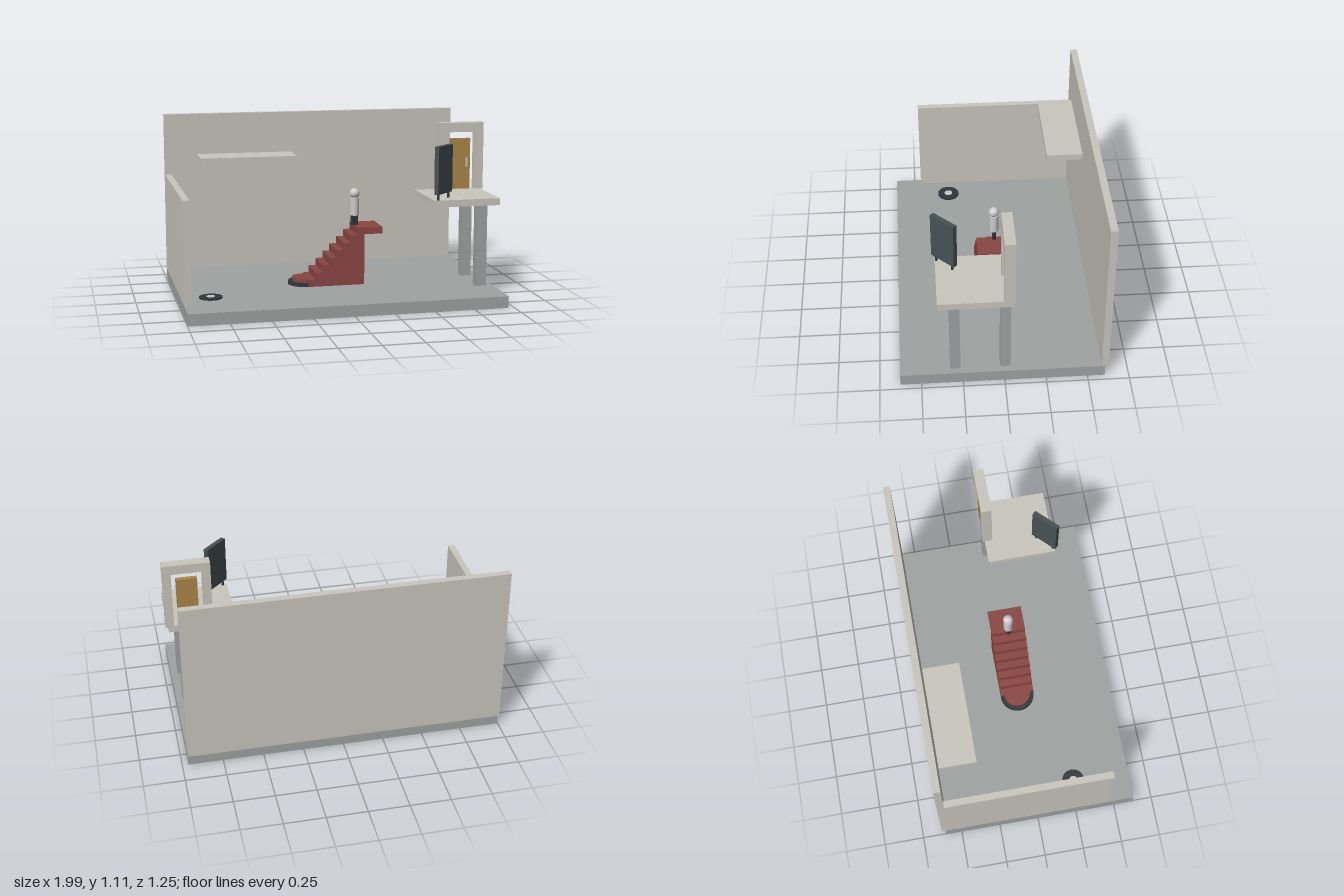
import * as THREE from 'three';

const mat = (color) => new THREE.MeshStandardMaterial({ color });

export function createModel() {
  const model = new THREE.Group();
  const plaster = mat(0xc9c6bd), stone = mat(0x9ea3a2), red = mat(0x8a4642);
  const dark = mat(0x2f363b), slate = mat(0x465154), wood = mat(0xab8748), pale = mat(0xcccccc);

  const add = (name, geometry, material, x = 0, y = 0, z = 0, parent = model) => {
    const mesh = new THREE.Mesh(geometry, material);
    mesh.name = name;
    mesh.position.set(x, y, z);
    parent.add(mesh);
    return mesh;
  };
  // box given by its extents on each axis
  const box = (name, material, [x0, x1], [y0, y1], [z0, z1], parent = model) =>
    add(name, new THREE.BoxGeometry(x1 - x0, y1 - y0, z1 - z0), material,
      (x0 + x1) / 2, (y0 + y1) / 2, (z0 + z1) / 2, parent);
  const group = (name) => {
    const g = new THREE.Group();
    g.name = name;
    model.add(g);
    return g;
  };
  // outline in x and y pushed from z0 to z1
  const extrude = (name, material, points, z0, z1, parent) => {
    const shape = new THREE.Shape(points.map(([x, y]) => new THREE.Vector2(x, y)));
    const geometry = new THREE.ExtrudeGeometry(shape, { depth: z1 - z0, bevelEnabled: false });
    return add(name, geometry, material, 0, 0, z0, parent);
  };

  // room
  const ground = 0.073;
  box('floor', stone, [-0.997, 0.963], [0, ground], [-0.605, 0.626]);
  box('backWall', plaster, [-0.997, 0.963], [0.076, 1.108], [-0.626, -0.583]);
  box('sideWall', plaster, [-0.997, -0.956], [ground, 0.71], [-0.583, 0.456]);
  box('wallShelf', plaster, [-0.788, -0.157], [0.8, 0.842], [-0.573, -0.346]);

  // staircase: stepped outline with an overhanging landing
  const stairs = group('staircase');
  const midZ = 0.012, half = 0.109, run = 0.0452, rise = 0.0456, firstX = -0.18;
  const outline = [[0.18, ground], [0.18, 0.396], [0.298, 0.396], [0.298, 0.438]];
  for (let i = 7; i >= 0; i--) {
    const x = firstX + i * run, top = ground + (i + 1) * rise;
    outline.push([x, top], [x, top - rise]);
  }
  outline.reverse();
  extrude('steps', red, outline.reverse(), midZ - half, midZ + half, stairs);

  // rounded bottom step on a dark plinth
  const halfDisc = (r, h) => new THREE.CylinderGeometry(r, r, h, 40, 1, false, Math.PI, Math.PI);
  add('roundedStep', halfDisc(0.085, 0.045), red, firstX, ground + 0.0225, midZ, stairs);
  add('roundedPlinth', halfDisc(half, 0.022), dark, firstX, ground + 0.011, midZ, stairs);

  // figure standing on the landing
  const figure = group('figure');
  figure.position.set(0.142, 0.438, 0.01);
  for (const side of [-1, 1]) {
    add('figureLeg', new THREE.CylinderGeometry(0.012, 0.012, 0.064, 20), dark, side * 0.0125, 0.032, 0, figure);
  }
  add('figureBody', new THREE.CylinderGeometry(0.028, 0.028, 0.115, 28), pale, 0, 0.12, 0, figure);
  add('figureHead', new THREE.SphereGeometry(0.032, 28, 18), pale, 0, 0.204, 0, figure);

  // floor disc
  const disc = group('floorDisc');
  disc.position.set(-0.817, ground, 0.266);
  add('discRim', new THREE.CylinderGeometry(0.071, 0.071, 0.01, 40), dark, 0, 0.005, 0, disc);
  add('discCentre', new THREE.CylinderGeometry(0.027, 0.027, 0.012, 32), plaster, 0, 0.006, 0, disc);

  // raised platform on two posts
  const deck = 0.641;
  box('platform', plaster, [0.554, 0.979], [0.598, deck], [-0.041, 0.393]);
  for (const z of [-0.007, 0.294]) {
    box('platformPost', stone, [0.855, 0.921], [ground, 0.598], [z - 0.031, z + 0.031]);
  }

  // doorway
  const doorway = group('doorway');
  extrude('doorFrame', plaster, [
    [0.704, deck], [0.754, deck], [0.754, 1.013], [0.945, 1.013],
    [0.945, deck], [0.997, deck], [0.997, 1.073], [0.704, 1.073],
  ].reverse(), -0.056, 0.008, doorway);
  box('door', wood, [0.787, 0.917], [deck, 0.968], [-0.048, -0.018], doorway);
  box('doorHandle', pale, [0.886, 0.893], [0.786, 0.845], [-0.018, 0.002], doorway);

  // display board set diagonally on two short feet
  const board = group('displayBoard');
  board.position.set(0.627, deck, 0.337);
  board.rotation.y = Math.PI / 4;
  box('boardPanel', slate, [-0.091, 0.091], [0.037, 0.333], [-0.015, 0.015], board);
  for (const side of [-1, 1]) {
    add('boardFoot', new THREE.CylinderGeometry(0.008, 0.008, 0.04, 16), dark, side * 0.065, 0.02, 0, board);
  }

  return model;
}
